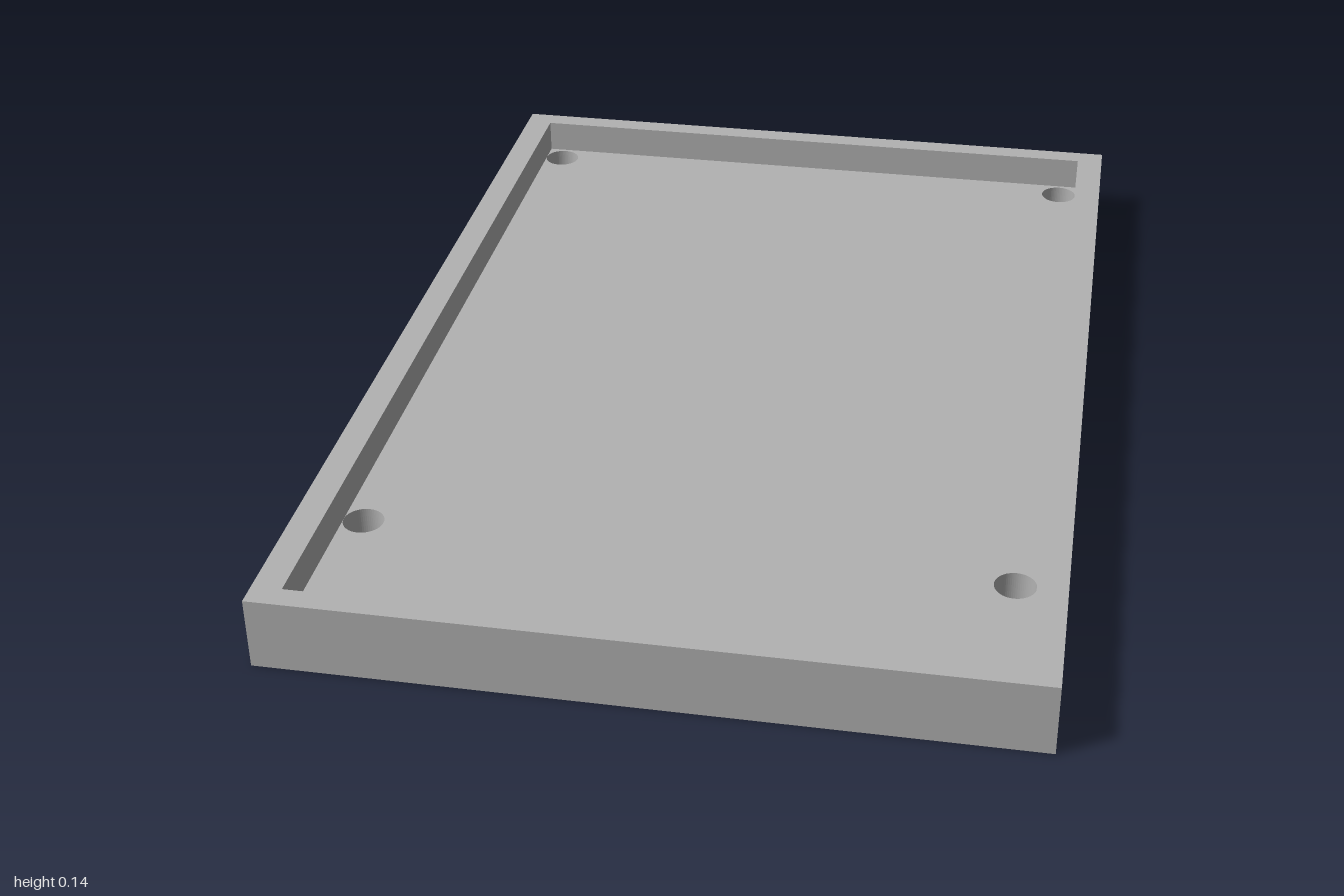
import * as THREE from 'three';

const W = 1.38, L = 2, H = 0.138;      // outer size
const INNER_W = 1.27, INNER_L = 1.912; // recess
const FLOOR = 0.069;                   // floor thickness
const HOLE_R = 0.038;

function rect(w, l, Type = THREE.Shape) {
  const p = new Type();
  p.moveTo(-w / 2, -l / 2);
  p.lineTo(w / 2, -l / 2);
  p.lineTo(w / 2, l / 2);
  p.lineTo(-w / 2, l / 2);
  p.closePath();
  return p;
}

// Extrude a plan drawn in (x, -z) upward from height y
function slab(shape, y, height) {
  const geo = new THREE.ExtrudeGeometry(shape, { depth: height, bevelEnabled: false, curveSegments: 32 });
  geo.rotateX(-Math.PI / 2);
  geo.translate(0, y, 0);
  return geo;
}

export function createModel() {
  const group = new THREE.Group();
  group.name = 'tray';
  const grey = new THREE.MeshStandardMaterial({ color: 0xb2b2b2 });
  grey.name = 'light grey';

  // Floor with four through holes
  const floorShape = rect(W, L);
  for (const x of [-0.597, 0.597]) {
    for (const z of [-0.911, 0.643]) {
      const hole = new THREE.Path();
      hole.absarc(x, -z, HOLE_R, 0, Math.PI * 2, true);
      floorShape.holes.push(hole);
    }
  }
  const floor = new THREE.Mesh(slab(floorShape, 0, FLOOR), grey);
  floor.name = 'floor';

  // Raised border around the recess
  const rimShape = rect(W, L);
  rimShape.holes.push(rect(INNER_W, INNER_L, THREE.Path));
  const rim = new THREE.Mesh(slab(rimShape, FLOOR, H - FLOOR), grey);
  rim.name = 'rim';

  group.add(floor, rim);
  return group;
}
